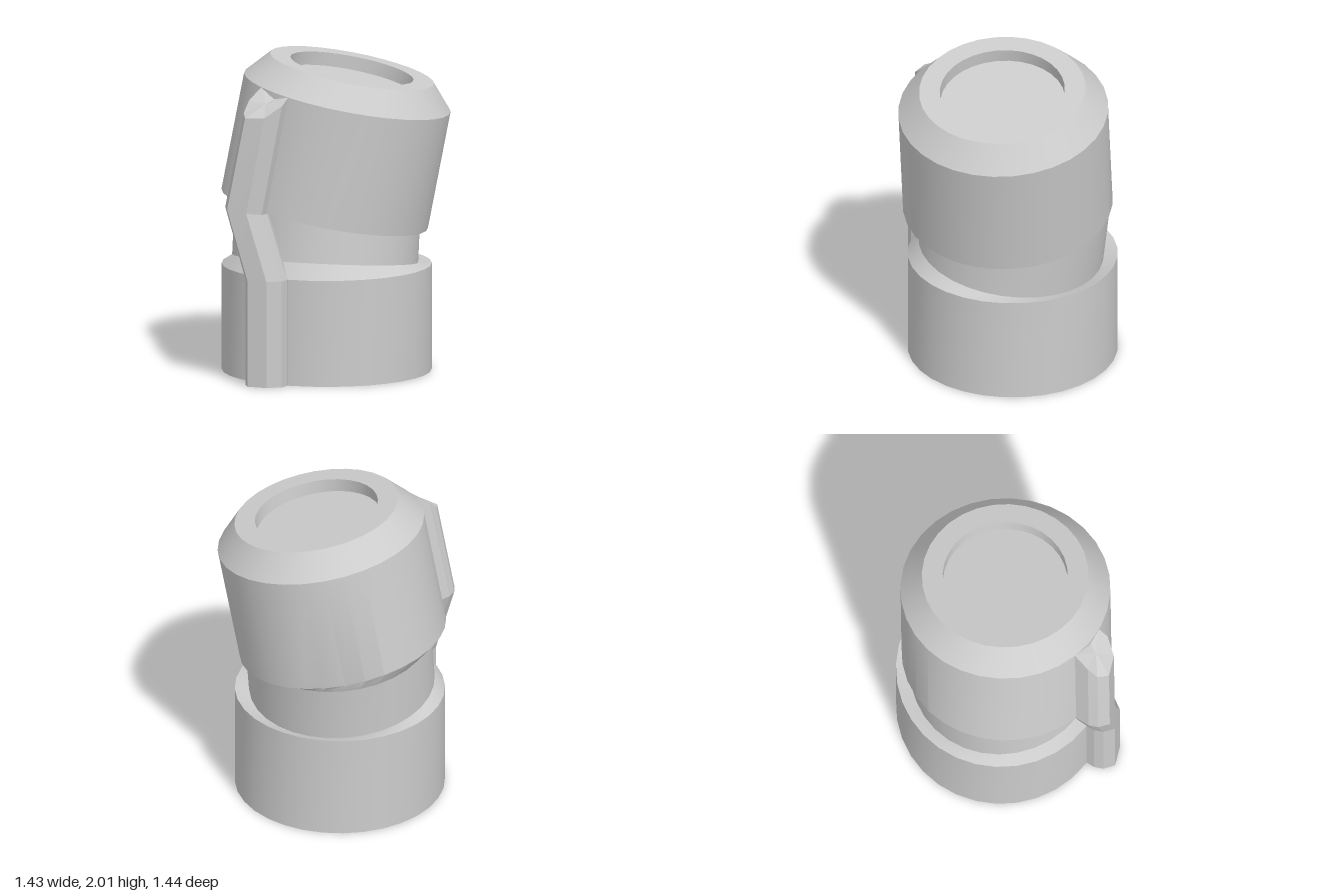
import * as THREE from 'three';
import { toCreasedNormals } from 'three/addons/utils/BufferGeometryUtils.js';

const material = new THREE.MeshStandardMaterial({ color: 0xcccccc });
const SEGMENTS = 32;

// Joins closed loops of points, each given as an array of Vector3
function loft(name, loops, crease = 0.5) {
  const n = loops[0].length;
  const index = [];
  for (let i = 0; i < loops.length - 1; i++) {
    for (let j = 0; j < n; j++) {
      const k = (j + 1) % n;
      const a = i * n + j, b = i * n + k, c = a + n, d = b + n;
      // a loop shrunk to its centre gives a fan instead of quads
      if (!loops[i][j].equals(loops[i][k])) index.push(a, c, b);
      if (!loops[i + 1][j].equals(loops[i + 1][k])) index.push(b, c, d);
    }
  }
  const geometry = new THREE.BufferGeometry().setFromPoints(loops.flat());
  geometry.setIndex(index);
  const mesh = new THREE.Mesh(toCreasedNormals(geometry, crease), material);
  mesh.name = name;
  return mesh;
}

// Circle around a centre, square to an axis
function ring(center, axis, radius) {
  const u = new THREE.Vector3(1, 0, 0).projectOnPlane(axis).normalize();
  const v = new THREE.Vector3().crossVectors(u, axis);
  return Array.from({ length: SEGMENTS }, (_, j) => {
    const t = (j / SEGMENTS) * Math.PI * 2;
    return center.clone()
      .addScaledVector(u, radius * Math.cos(t))
      .addScaledVector(v, radius * Math.sin(t));
  });
}

export function createModel() {
  const group = new THREE.Group();
  const up = new THREE.Vector3(0, 1, 0);
  const neckAxis = new THREE.Vector3(0, 1, -0.122).normalize();
  const headAxis = new THREE.Vector3(0.184, 1, -0.055).normalize();

  const baseRing = (y, r) => ring(new THREE.Vector3(-0.065, y, -0.06), up, r);
  const neckLow = ring(new THREE.Vector3(-0.07, 0.7, -0.045), neckAxis, 0.58);
  const neckHigh = ring(new THREE.Vector3(-0.07, 1.06, -0.09), neckAxis, 0.58);
  const headRing = (h, r) => ring(
    new THREE.Vector3(-0.065, 1.02, -0.025).addScaledVector(headAxis, h), headAxis, r);

  // Upright base with a sloping shoulder that meets the neck
  group.add(loft('base', [baseRing(0, 0), baseRing(0, 0.655), baseRing(0.67, 0.655), neckLow]));
  group.add(loft('neck', [neckLow, neckHigh]));
  // Tilted head: underside, wall, bevel, rim and round recess
  group.add(loft('head', [
    neckHigh, headRing(0, 0.655), headRing(0.75, 0.655), headRing(0.905, 0.52),
    headRing(0.905, 0.39), headRing(0.82, 0.39), headRing(0.82, 0),
  ]));

  // Bent rib up the front: [x, z, height of the sloped top]
  const profile = [
    [-0.065, 0.6, 1.82], [-0.076, 0.665, 1.77], [-0.155, 0.725, 1.7], [-0.283, 0.725, 1.69],
    [-0.322, 0.66, 1.71], [-0.325, 0.6, 1.78], [-0.29, 0.5, 1.86], [-0.1, 0.5, 1.84],
  ];
  const bend = -0.135;
  const section = (shift, y) => profile.map(([x, z]) => new THREE.Vector3(x + shift, y(x), z));
  const top = profile.map(([x, z, y]) =>
    new THREE.Vector3(x + bend + (y - 1.11) * 0.184, y, z - (y - 1.11) * 0.055));
  const center = loop => {
    const c = loop.reduce((s, p) => s.add(p), new THREE.Vector3()).divideScalar(loop.length);
    return loop.map(() => c.clone());
  };
  const bottom = section(0, () => 0);
  group.add(loft('frontRib', [
    center(bottom), bottom,
    section(0, () => 0.67),
    section(bend, x => 1.08 - (x + 0.065) * 0.14),
    top, center(top),
  ], 0.1));

  return group;
}
